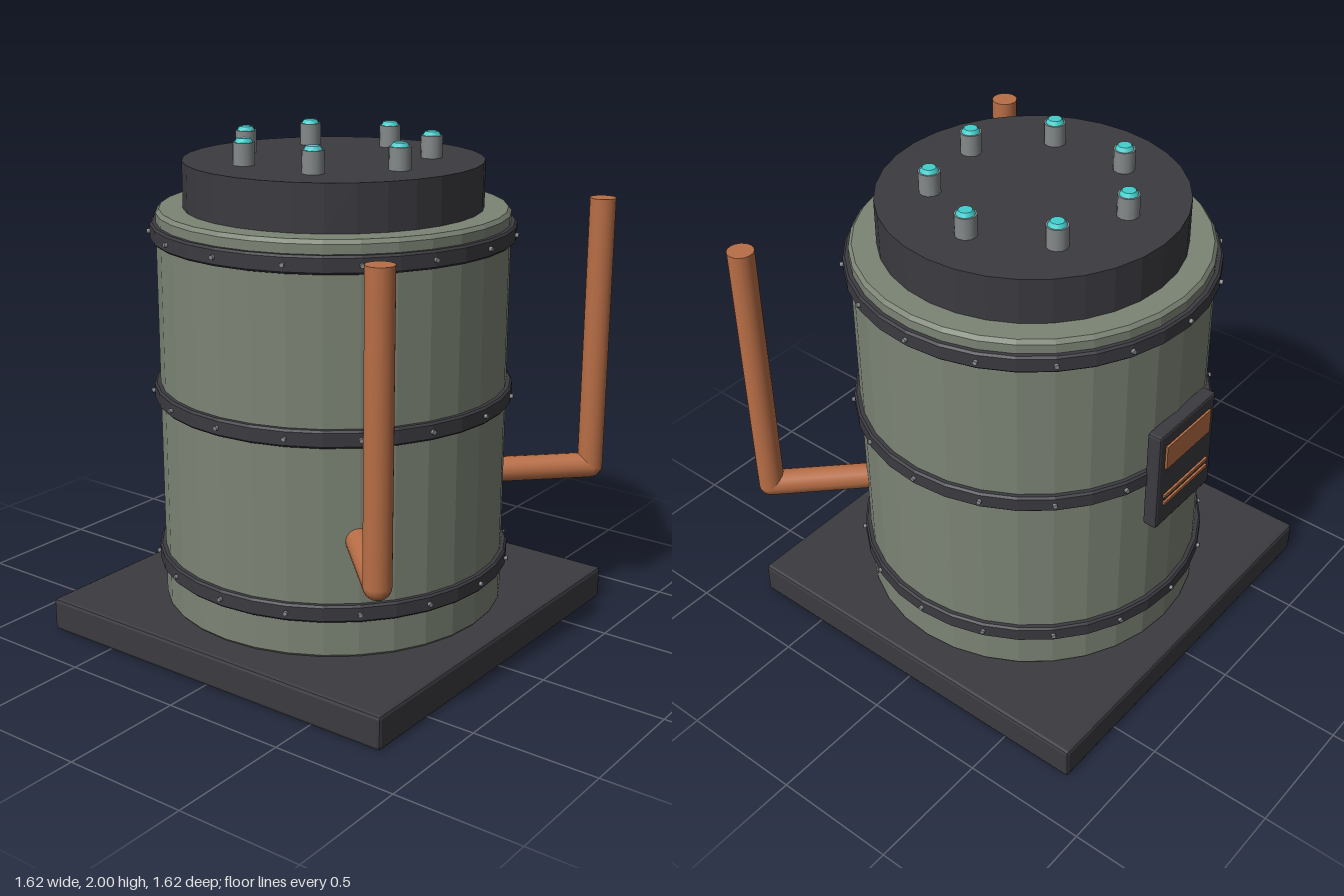
import * as THREE from 'three';
import { RoundedBoxGeometry } from 'three/addons/geometries/RoundedBoxGeometry.js';

const paint = (name, color, flatShading = false) => {
  const m = new THREE.MeshStandardMaterial({ color, flatShading });
  m.name = name;
  return m;
};

export function createModel() {
  const model = new THREE.Group();
  model.name = 'storageTank';
  const green = paint('sageGreen', 0x7c8475, true);
  const dark = paint('charcoal', 0x3b3a40, true);
  const copper = paint('copper', 0xb86e46);
  const steel = paint('steel', 0x858a8b);
  const teal = paint('teal', 0x42cfcd);

  const add = (name, geometry, material, x = 0, y = 0, z = 0, parent = model) => {
    const mesh = new THREE.Mesh(geometry, material);
    mesh.name = name;
    mesh.position.set(x, y, z);
    parent.add(mesh);
    return mesh;
  };
  const lathe = (points, sides) =>
    new THREE.LatheGeometry(points.map(([r, y]) => new THREE.Vector2(r, y)), sides);

  // Square plinth with a small bevel
  add('base', new RoundedBoxGeometry(1.62, 0.135, 1.62, 1, 0.014), dark, 0, 0.0675, 0);

  // Drum with chamfered rims
  add('drum', lathe([[0, 0.13], [0.672, 0.13], [0.685, 0.145], [0.685, 1.705],
    [0.672, 1.72], [0, 1.72]], 32), green);

  // Lid
  add('lid', new THREE.CylinderGeometry(0.58, 0.58, 0.18, 32), dark, 0, 1.81, 0);

  // Hoops with sixteen rivets each
  const hoopShape = lathe([[0.67, -0.034], [0.7, -0.034], [0.708, -0.026], [0.708, 0.026],
    [0.7, 0.034], [0.67, 0.034]], 32);
  const rivetShape = new THREE.CylinderGeometry(0.009, 0.009, 0.024, 8).rotateX(Math.PI / 2);
  for (const y of [0.32, 1.0, 1.635]) {
    add('hoop', hoopShape, dark, 0, y, 0);
    for (let i = 0; i < 16; i++) {
      const a = (i / 16) * Math.PI * 2;
      add('rivet', rivetShape, steel, Math.sin(a) * 0.708, y, Math.cos(a) * 0.708).rotation.y = a;
    }
  }

  // Ring of seven studs with glowing tips
  const studShape = new THREE.CylinderGeometry(0.042, 0.042, 0.085, 12);
  const tipShape = new THREE.CylinderGeometry(0.026, 0.036, 0.016, 12);
  for (let i = 0; i < 7; i++) {
    const a = (i / 7) * Math.PI * 2;
    const x = Math.cos(a) * 0.375, z = Math.sin(a) * 0.375;
    add('stud', studShape, steel, x, 1.9425, z);
    add('studTip', tipShape, teal, x, 1.992, z);
  }

  // Front corner pipes: riser, elbow and branch into the drum
  const r = 0.052, corner = 0.76, inner = 0.46;
  const branchLength = (corner - inner) * Math.SQRT2;
  for (const side of [-1, 1]) {
    const pipe = new THREE.Group();
    pipe.name = side > 0 ? 'leftPipe' : 'rightPipe';
    model.add(pipe);
    add('riser', new THREE.CylinderGeometry(r, r, 1.12, 16), copper, side * corner, 1.16, corner, pipe);
    add('elbow', new THREE.SphereGeometry(r, 16, 10), copper, side * corner, 0.6, corner, pipe);
    const mid = (corner + inner) / 2;
    add('branch', new THREE.CylinderGeometry(r, r, branchLength, 16).rotateX(Math.PI / 2),
      copper, side * mid, 0.6, mid, pipe).rotation.y = side * Math.PI / 4;
  }

  // Back control panel with a plate and two strips
  const panel = new THREE.Group();
  panel.name = 'controlPanel';
  model.add(panel);
  add('panelBox', new RoundedBoxGeometry(0.36, 0.44, 0.06, 1, 0.01), dark, 0, 1.0, -0.703, panel);
  for (const [name, y, h] of [['panelPlate', 1.11, 0.105], ['panelStrip', 0.922, 0.014], ['panelStrip', 0.887, 0.014]])
    add(name, new THREE.BoxGeometry(0.285, h, 0.009), copper, 0, y, -0.737, panel);

  return model;
}
